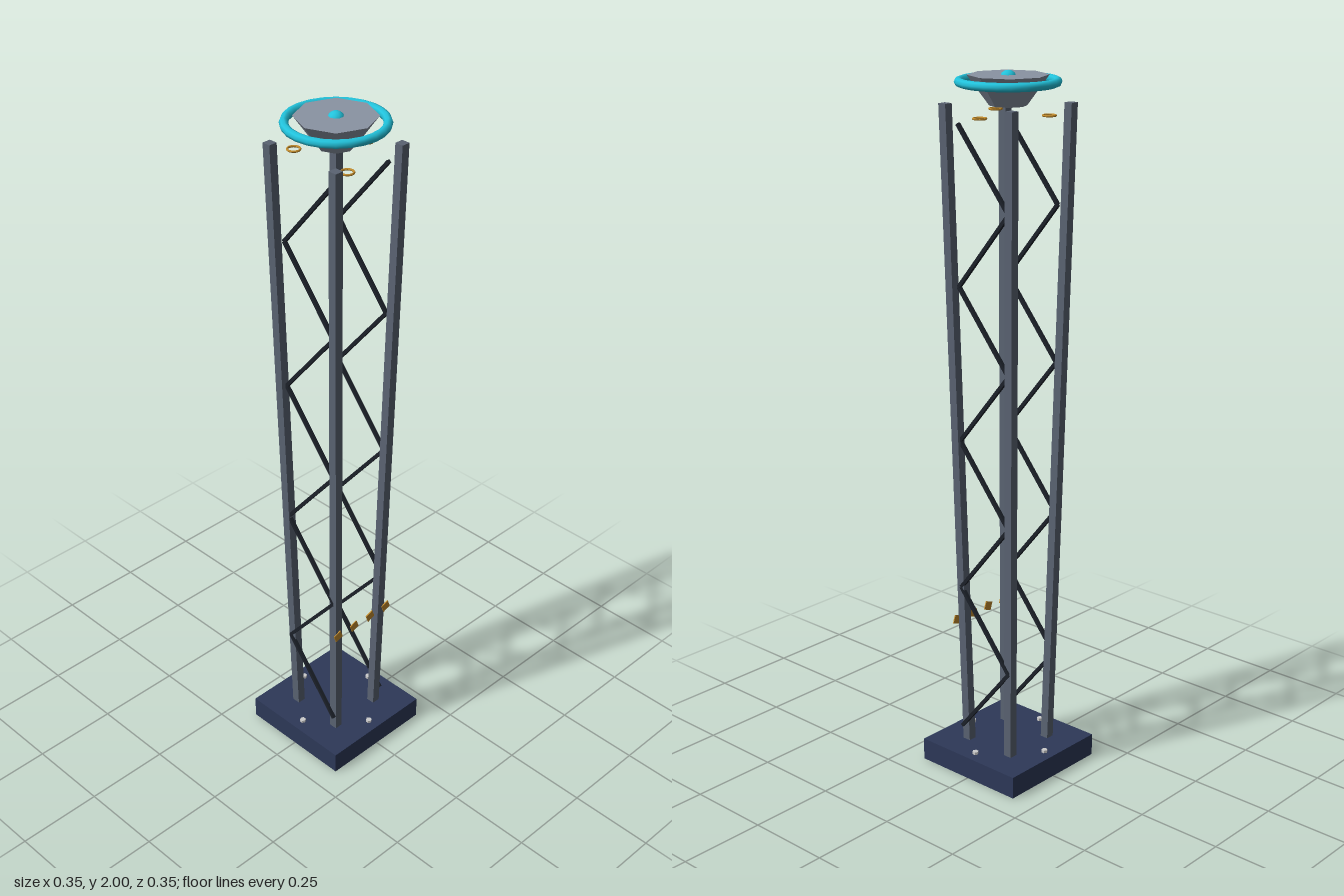
import * as THREE from 'three';

const paint = (color) => new THREE.MeshStandardMaterial({ color, flatShading: true });

export function createModel() {
  const model = new THREE.Group();
  const navy = paint(0x2d3858);
  const steel = paint(0x5a6372);
  const dark = paint(0x1c2129);
  const gold = paint(0xc08a2c);
  const cyan = new THREE.MeshStandardMaterial({ color: 0x22c3dc });
  const pale = paint(0x8a93a3);
  const grey = paint(0xcccccc);

  const add = (name, geometry, material, x = 0, y = 0, z = 0) => {
    const mesh = new THREE.Mesh(geometry, material);
    mesh.name = name;
    mesh.position.set(x, y, z);
    model.add(mesh);
    return mesh;
  };

  // Square base with a bolt in the middle of each edge
  add('base', new THREE.BoxGeometry(0.35, 0.065, 0.35), navy, 0, 0.0325, 0);
  const boltGeometry = new THREE.CylinderGeometry(0.009, 0.009, 0.012, 6);
  for (let i = 0; i < 4; i++) {
    const a = (i * Math.PI) / 2;
    add('baseBolt', boltGeometry, grey, 0.141 * Math.cos(a), 0.067, 0.141 * Math.sin(a));
  }

  // Four legs, leaning outwards towards the top
  const legBottom = 0.05, legTop = 1.915;
  const height = legTop - legBottom;
  for (const sx of [-1, 1]) for (const sz of [-1, 1]) {
    const leg = new THREE.BoxGeometry(0.025, height, 0.025);
    const lean = (0.117 - 0.08) / height;
    const shear = new THREE.Matrix4().set(
      1, sx * lean, 0, 0,
      0, 1, 0, 0,
      0, sz * lean, 1, 0,
      0, 0, 0, 1
    );
    leg.applyMatrix4(shear);
    add('leg', leg, steel, sx * 0.0985, (legBottom + legTop) / 2, sz * 0.0985);
  }

  // Zigzag braces on the left and right sides
  const up = new THREE.Vector3(0, 1, 0);
  const node = (x, i) => new THREE.Vector3(x, 0.11 + i * 0.219, i % 2 ? -0.09 : 0.09);
  for (const x of [-0.098, 0.098]) for (let i = 0; i < 8; i++) {
    const from = node(x, i), to = node(x, i + 1);
    const span = to.clone().sub(from);
    const brace = add('brace', new THREE.BoxGeometry(0.01, span.length(), 0.01), dark);
    brace.position.copy(from).add(to).multiplyScalar(0.5);
    brace.quaternion.setFromUnitVectors(up, span.normalize());
  }

  // Row of small tilted plates across the front
  const plateGeometry = new THREE.BoxGeometry(0.027, 0.025, 0.003);
  for (let i = 0; i < 4; i++) {
    const plate = add('markerPlate', plateGeometry, gold, -0.1 + i * 0.0655, 0.44, 0.11);
    plate.rotation.z = 0.35;
  }

  // Three small flat rings under the dish
  const eyeGeometry = new THREE.TorusGeometry(0.017, 0.003, 6, 16).rotateX(Math.PI / 2);
  for (let i = 0; i < 3; i++) {
    const a = (i * Math.PI * 2) / 3;
    add('smallRing', eyeGeometry, gold, 0.11 * Math.cos(a), 1.885, 0.11 * Math.sin(a));
  }

  // Eight-sided dish, glowing ring and centre ball
  add('dish', new THREE.CylinderGeometry(0.109, 0.05, 0.08, 8), pale, 0, 1.948, 0);
  add('dishRing', new THREE.TorusGeometry(0.13, 0.012, 8, 24).rotateX(Math.PI / 2), cyan, 0, 1.97, 0);
  add('centreBall', new THREE.SphereGeometry(0.024, 10, 8), cyan, 0, 1.976, 0);

  return model;
}
